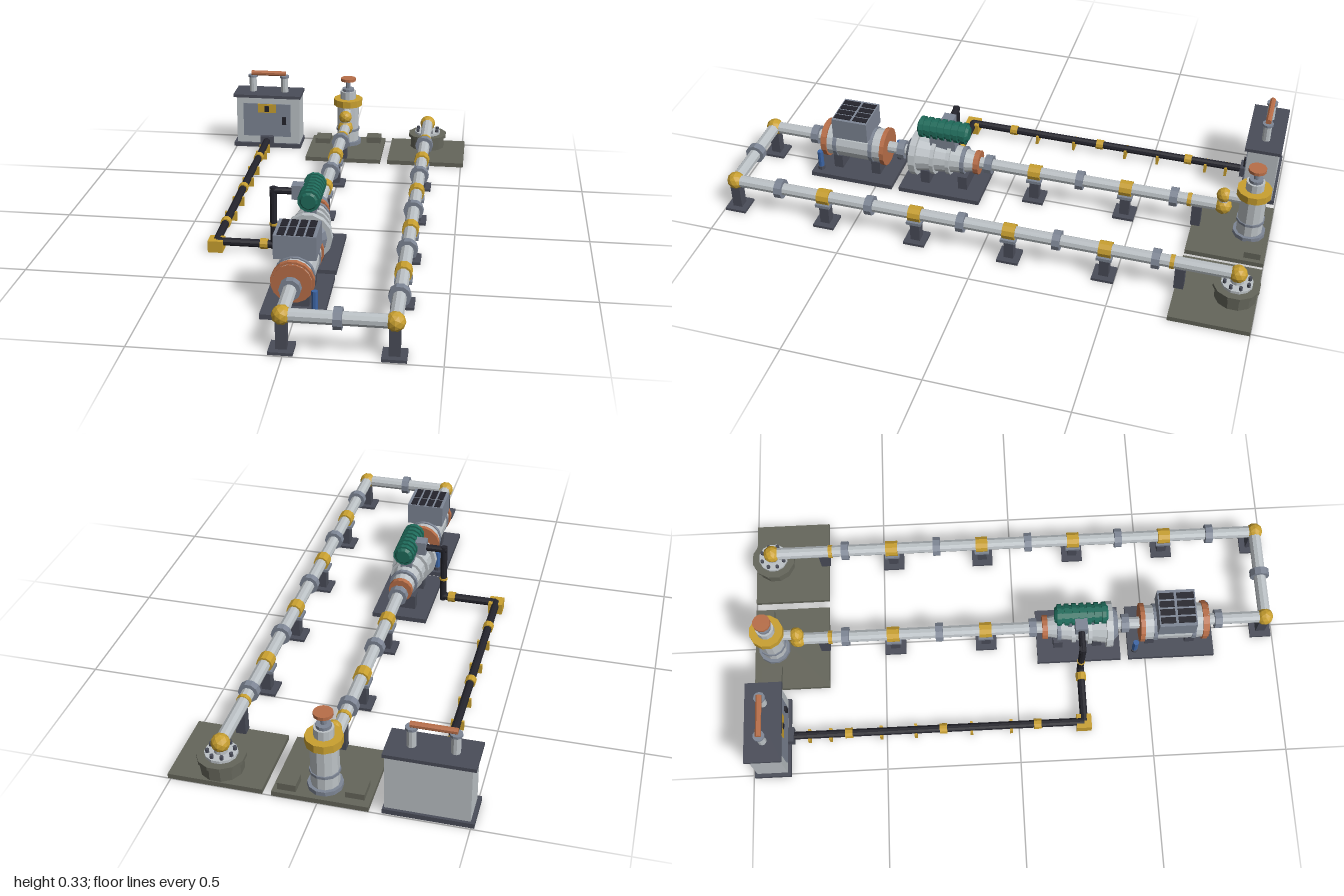
import * as THREE from 'three';

const mat = (name, color) => {
  const m = new THREE.MeshStandardMaterial({ color, flatShading: true });
  m.name = name;
  return m;
};

export function createModel() {
  const M = {
    steel: mat('light steel', 0xbcc2c6), slate: mat('blue grey', 0x7e8695),
    dark: mat('dark slate', 0x4a4d59), olive: mat('olive concrete', 0x65665b),
    yellow: mat('yellow', 0xc9a030), copper: mat('copper', 0xb86e48),
    green: mat('green', 0x1f6b5b), black: mat('black', 0x24242c), blue: mat('blue', 0x3c65a5),
  };
  const root = new THREE.Group();
  root.name = 'pumpingStation';
  const group = (name) => {
    const g = new THREE.Group();
    g.name = name;
    root.add(g);
    return g;
  };
  const add = (g, name, geo, m, x, y, z) => {
    const mesh = new THREE.Mesh(geo, m);
    mesh.name = name;
    mesh.position.set(x, y, z);
    g.add(mesh);
    return mesh;
  };
  // Box given by its lower and upper corners
  const box = (g, name, m, x0, x1, y0, y1, z0, z1) =>
    add(g, name, new THREE.BoxGeometry(x1 - x0, y1 - y0, z1 - z0), m, (x0 + x1) / 2, (y0 + y1) / 2, (z0 + z1) / 2);
  // Cylinder along an axis, from a to b on that axis; p, q are the other two coordinates in xyz order
  const cyl = (g, name, m, axis, a, b, p, q, ra, rb = ra, n = 10) => {
    const geo = new THREE.CylinderGeometry(rb, ra, b - a, n);
    geo.rotateY(Math.PI / n);
    const c = (a + b) / 2;
    if (axis === 'x') { geo.rotateZ(-Math.PI / 2); return add(g, name, geo, m, c, p, q); }
    if (axis === 'z') { geo.rotateX(Math.PI / 2); return add(g, name, geo, m, p, q, c); }
    return add(g, name, geo, m, p, c, q);
  };
  const ball = (g, name, x, y, z, r = 0.033) =>
    add(g, name, new THREE.IcosahedronGeometry(r, 1), M.yellow, x, y, z);

  const XA = -0.008, XB = 0.346, PY = 0.122, ZF = 0.955, ZW = -0.925;

  // Main pipe loop
  const pipes = group('mainPipes');
  cyl(pipes, 'pipe', M.steel, 'z', -0.82, 0.13, XA, PY, 0.023);
  cyl(pipes, 'pipe', M.steel, 'z', 0.36, ZF, XA, PY, 0.023);
  cyl(pipes, 'pipe', M.steel, 'z', ZW, ZF, XB, PY, 0.023);
  cyl(pipes, 'crossPipe', M.steel, 'x', XA, XB, PY, ZF, 0.023);
  cyl(pipes, 'coupling', M.slate, 'x', 0.155, 0.183, PY, ZF, 0.037);
  for (const x of [XA, XB]) {
    ball(pipes, 'elbow', x, PY, ZF);
    for (const z of [-0.64, -0.285, 0.07, 0.42, 0.775])
      cyl(pipes, 'coupling', M.slate, 'z', z - 0.014, z + 0.014, x, PY, 0.037);
    cyl(pipes, 'band', M.yellow, 'z', -0.705, -0.69, x, PY, 0.026);
    box(pipes, 'padPost', M.dark, x - 0.018, x + 0.018, 0.018, 0.105, -0.745, -0.71);
  }
  ball(pipes, 'elbow', XA, PY, -0.82);
  ball(pipes, 'elbow', XB, PY, ZW);

  // Pipe supports with clamps
  const supports = group('pipeSupports');
  const support = (x, z, clamp) => {
    box(supports, 'footPlate', M.dark, x - 0.04, x + 0.04, 0, 0.01, z - 0.04, z + 0.04);
    box(supports, 'post', M.dark, x - 0.018, x + 0.018, 0.01, 0.105, z - 0.018, z + 0.018);
    if (clamp) {
      box(supports, 'saddle', M.slate, x - 0.03, x + 0.03, 0.088, 0.1, z - 0.028, z + 0.028);
      cyl(supports, 'clamp', M.yellow, 'z', z - 0.023, z + 0.023, x, PY, 0.03);
    }
  };
  for (const z of [-0.46, -0.11]) support(XA, z, true);
  for (const z of [-0.46, -0.11, 0.245, 0.6]) support(XB, z, true);
  support(XA, ZF, false);
  support(XB, ZF, false);

  // Concrete pads
  const pads = group('pads');
  box(pads, 'padA', M.olive, -0.17, 0.154, 0, 0.018, -1, -0.715);
  box(pads, 'padB', M.olive, 0.185, 0.51, 0, 0.018, -1, -0.715);
  box(pads, 'block', M.olive, -0.15, -0.085, 0.018, 0.04, -0.97, -0.895);
  box(pads, 'block', M.olive, 0.075, 0.138, 0.018, 0.044, -0.985, -0.925);

  // Tall wellhead with hand wheel
  const well = group('wellhead');
  const W = (name, m, a, b, r, n = 12) => cyl(well, name, m, 'y', a, b, XA, ZW, r, r, n);
  W('baseRing', M.slate, 0.018, 0.034, 0.06);
  W('body', M.steel, 0.034, 0.195, 0.048);
  W('lowerRing', M.slate, 0.08, 0.09, 0.052);
  W('flange', M.yellow, 0.195, 0.224, 0.063);
  W('neck', M.steel, 0.224, 0.258, 0.034);
  W('cap', M.slate, 0.258, 0.27, 0.026);
  W('stem', M.slate, 0.27, 0.305, 0.01, 8);
  W('handWheel', M.copper, 0.304, 0.316, 0.033);
  cyl(well, 'outlet', M.steel, 'z', -0.89, -0.82, XA, 0.17, 0.02);
  cyl(well, 'drop', M.steel, 'y', PY, 0.17, XA, -0.82, 0.02);
  ball(well, 'upperElbow', XA, 0.17, -0.82, 0.028);

  // Low wellhead
  const low = group('lowWellhead');
  cyl(low, 'body', M.olive, 'y', 0.018, 0.068, XB, ZW, 0.074, 0.074, 12);
  cyl(low, 'rim', M.olive, 'y', 0.065, 0.078, XB, ZW, 0.083, 0.083, 12);
  cyl(low, 'plate', M.steel, 'y', 0.078, 0.088, XB, ZW, 0.056, 0.056, 12);
  cyl(low, 'riser', M.steel, 'y', 0.088, PY, XB, ZW, 0.024);
  for (let i = 0; i < 8; i++) {
    const a = (i + 0.5) * Math.PI / 4;
    cyl(low, 'bolt', M.dark, 'y', 0.085, 0.101, XB + 0.045 * Math.cos(a), ZW + 0.045 * Math.sin(a), 0.007, 0.007, 6);
  }

  // Control cabinet with roof bushings
  const cab = group('cabinet');
  box(cab, 'base', M.dark, -0.511, -0.213, 0, 0.018, -0.995, -0.86);
  box(cab, 'body', M.steel, -0.498, -0.218, 0.018, 0.228, -0.985, -0.872);
  box(cab, 'roof', M.dark, -0.511, -0.213, 0.228, 0.241, -0.995, -0.86);
  box(cab, 'door', M.slate, -0.468, -0.258, 0.05, 0.2, -0.873, -0.867);
  box(cab, 'label', M.yellow, -0.403, -0.322, 0.16, 0.2, -0.868, -0.864);
  box(cab, 'labelMark', M.black, -0.373, -0.353, 0.165, 0.191, -0.865, -0.862);
  box(cab, 'handle', M.black, -0.294, -0.277, 0.108, 0.143, -0.868, -0.859);
  for (const x of [-0.433, -0.292]) {
    cyl(cab, 'bushing', M.steel, 'y', 0.241, 0.306, x, -0.928, 0.016);
    cyl(cab, 'bushingCap', M.slate, 'y', 0.306, 0.315, x, -0.928, 0.021);
  }
  cyl(cab, 'busBar', M.copper, 'x', -0.438, -0.287, 0.323, -0.928, 0.011, 0.011, 8);

  // Black conduit
  const con = group('conduit');
  const CX = -0.362, CY = 0.034, CZ = 0.245, R = 0.015;
  cyl(con, 'longRun', M.black, 'z', -0.87, CZ, CX, CY, R);
  cyl(con, 'shortRun', M.black, 'x', CX, -0.149, CY, CZ, R);
  cyl(con, 'riser', M.black, 'y', CY - R, 0.258, -0.149, CZ, 0.013);
  cyl(con, 'topRun', M.black, 'x', -0.16, -0.06, 0.246, CZ, 0.013);
  box(con, 'cabinetFitting', M.dark, -0.39, -0.334, 0.014, 0.055, -0.87, -0.845);
  box(con, 'cornerBox', M.yellow, -0.39, -0.335, 0, 0.044, 0.217, 0.273);
  for (const z of [-0.64, -0.285, 0.07])
    cyl(con, 'coupling', M.yellow, 'z', z - 0.014, z + 0.014, CX, CY, 0.02);
  cyl(con, 'coupling', M.yellow, 'x', -0.199, -0.171, CY, CZ, 0.02);
  cyl(con, 'riserClip', M.yellow, 'y', 0.11, 0.119, -0.149, CZ, 0.0155);
  for (const z of [-0.79, -0.71, -0.52, -0.39, -0.18, -0.03])
    box(con, 'clip', M.yellow, CX - 0.023, CX + 0.023, 0, 0.036, z - 0.005, z + 0.005);

  // Skids
  const skids = group('skids');
  for (const [a, b] of [[0.435, 0.765], [0.085, 0.405]]) {
    box(skids, 'skid', M.dark, -0.114, 0.098, 0, 0.018, a, b);
    for (const t of [0.25, 0.72]) {
      const z = a + (b - a) * t;
      box(skids, 'cradle', M.dark, XA - 0.05, XA + 0.05, 0.018, 0.075, z - 0.018, z + 0.018);
    }
  }

  // Drive unit: drum, copper end rings and louvred box
  const drive = group('driveUnit');
  const D = (name, m, a, b, r) => cyl(drive, name, m, 'z', a, b, XA, PY, r, r, 16);
  D('drum', M.steel, 0.48, 0.73, 0.066);
  D('endRing', M.copper, 0.475, 0.492, 0.074);
  D('endRing', M.copper, 0.71, 0.728, 0.074);
  D('frontPlate', M.copper, 0.728, 0.735, 0.066);
  D('rib', M.slate, 0.525, 0.54, 0.07);
  D('rib', M.slate, 0.67, 0.685, 0.07);
  box(drive, 'louvreBox', M.slate, -0.08, 0.064, 0.178, 0.262, 0.535, 0.675);
  for (let i = 0; i < 4; i++) {
    const x = -0.056 + i * 0.032;
    box(drive, 'louvre', M.black, x - 0.012, x + 0.012, 0.259, 0.265, 0.54, 0.595);
    box(drive, 'louvre', M.black, x - 0.012, x + 0.012, 0.259, 0.265, 0.605, 0.67);
  }
  for (const [x, z] of [[-0.08, 0.46], [0.066, 0.735]]) {
    cyl(drive, 'damper', M.blue, 'y', 0.03, 0.1, x, z, 0.011, 0.011, 8);
    cyl(drive, 'damperFoot', M.dark, 'y', 0.018, 0.032, x, z, 0.014, 0.014, 8);
  }

  // Staged compressor: [z start, z end, start radius, end radius, colour]
  const comp = group('compressor');
  const stages = [
    [0.105, 0.125, 0.046, 0.046, M.copper], [0.125, 0.16, 0.038, 0.045, M.steel],
    [0.16, 0.175, 0.054, 0.054, M.slate], [0.175, 0.215, 0.05, 0.055, M.steel],
    [0.215, 0.23, 0.065, 0.065, M.steel], [0.23, 0.275, 0.056, 0.062, M.steel],
    [0.275, 0.29, 0.074, 0.074, M.steel], [0.29, 0.345, 0.062, 0.072, M.steel],
    [0.345, 0.37, 0.088, 0.088, M.steel], [0.37, 0.39, 0.07, 0.05, M.slate],
  ];
  for (const [a, b, r0, r1, m] of stages) cyl(comp, 'stage', m, 'z', a, b, XA, PY, r0, r1, 14);

  // Green ribbed motor on top
  const motor = group('topMotor');
  box(motor, 'pedestal', M.slate, XA - 0.022, XA + 0.022, 0.15, 0.225, 0.2, 0.3);
  cyl(motor, 'shell', M.green, 'z', 0.16, 0.335, XA, 0.248, 0.034, 0.034, 12);
  for (let i = 0; i < 7; i++) {
    const z = 0.166 + i * 0.0275;
    cyl(motor, 'fin', M.green, 'z', z - 0.008, z + 0.008, XA, 0.248, 0.041, 0.041, 12);
  }
  cyl(motor, 'endCap', M.green, 'z', 0.335, 0.347, XA, 0.248, 0.036, 0.026, 12);
  cyl(motor, 'endCap', M.green, 'z', 0.148, 0.16, XA, 0.248, 0.026, 0.036, 12);
  box(motor, 'junctionBox', M.slate, -0.08, -0.036, 0.222, 0.275, 0.222, 0.268);
  return root;
}
